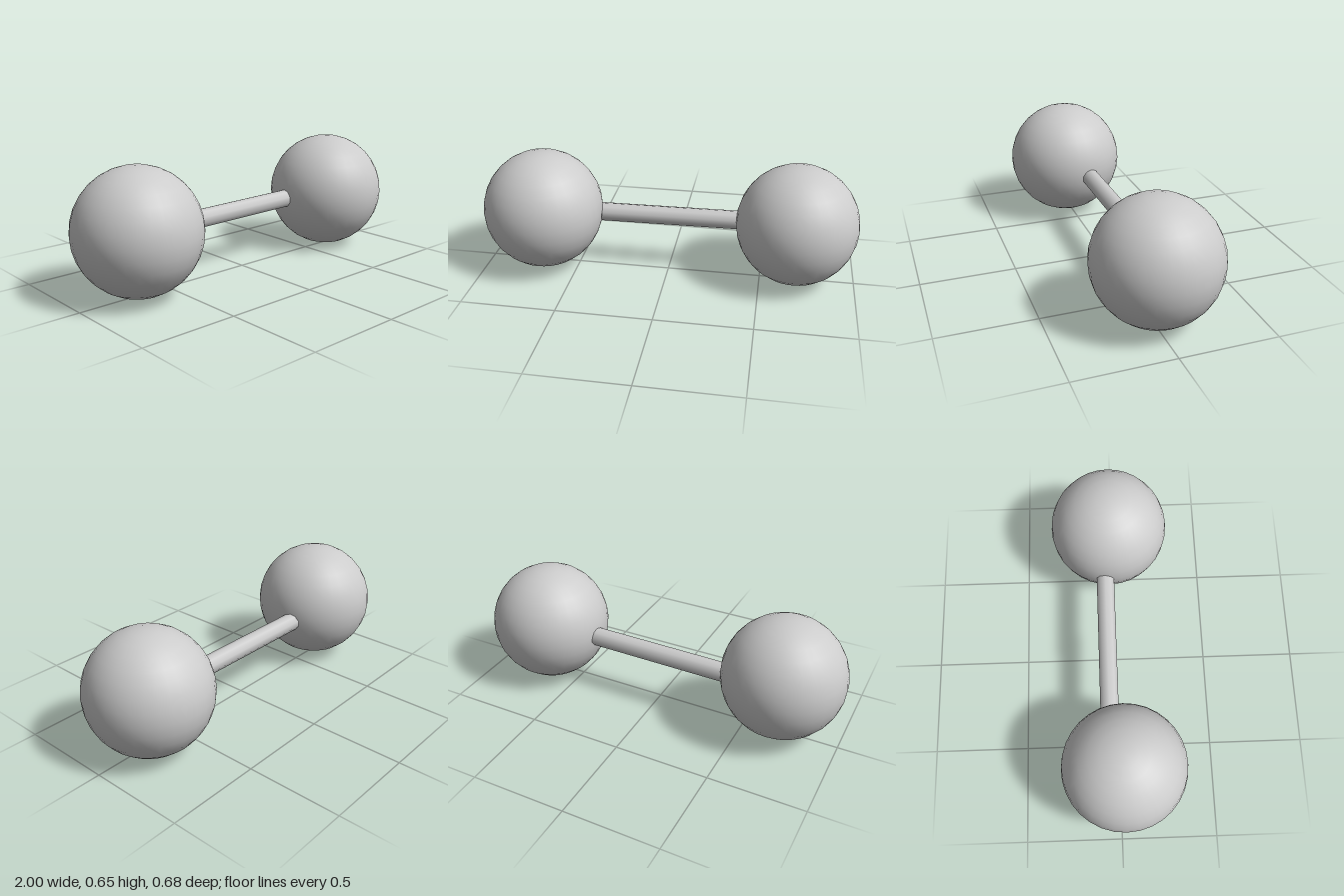
import * as THREE from 'three';

export function createModel() {
  const group = new THREE.Group();
  const material = new THREE.MeshStandardMaterial({ color: 0xcccccc });

  const add = (name, geometry, position) => {
    const mesh = new THREE.Mesh(geometry, material);
    mesh.name = name;
    mesh.position.copy(position);
    group.add(mesh);
    return mesh;
  };

  // Two end balls, slightly out of line with each other
  const ball = new THREE.SphereGeometry(0.32, 32, 16);
  add('rightBall', ball, new THREE.Vector3(-0.68, 0.333, 0.02));
  add('leftBall', ball, new THREE.Vector3(0.68, 0.323, -0.02));

  // Ten-sided connecting bar, sunk into both balls and tilted a little
  const start = new THREE.Vector3(-0.42, 0.302, -0.046);
  const end = new THREE.Vector3(0.42, 0.31, -0.046);
  const span = end.clone().sub(start);
  const bar = add(
    'connectingBar',
    new THREE.CylinderGeometry(0.05, 0.05, span.length(), 10, 1, false, Math.PI / 2),
    start.clone().add(end).multiplyScalar(0.5)
  );
  bar.quaternion.setFromUnitVectors(new THREE.Vector3(0, 1, 0), span.normalize());

  return group;
}
